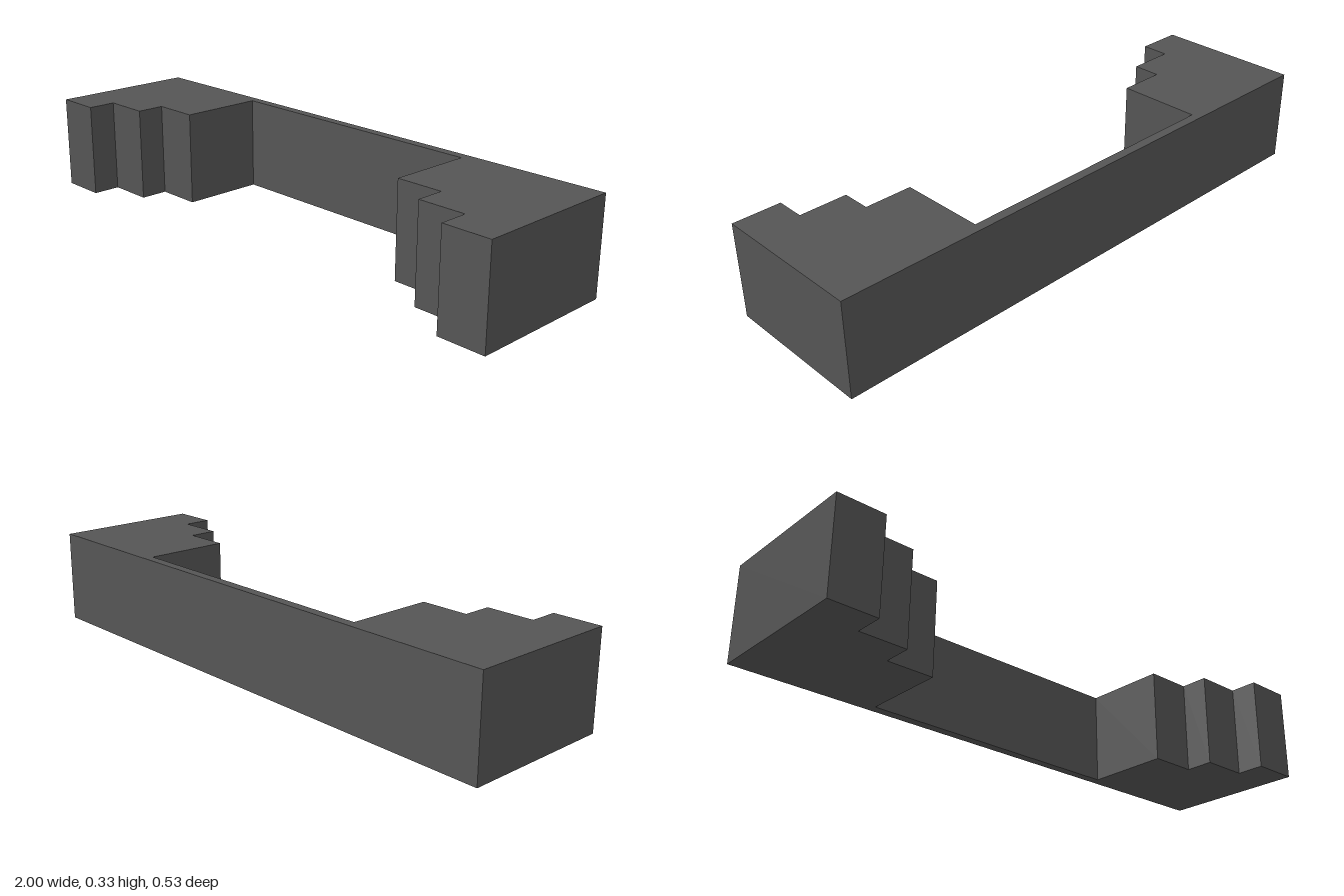
import * as THREE from 'three';

export function createModel() {
  const model = new THREE.Group();
  model.name = 'steppedWallBlock';

  const darkGrey = new THREE.MeshStandardMaterial({ color: 0x555555 });
  darkGrey.name = 'dark grey';

  const height = 1 / 3;
  const back = -0.2667;

  // Right half of the plan as [x, z]: thin back panel, then a wing stepping forward
  const half = [
    [0.5, -0.2333],
    [0.5, 0.0667], [0.6667, 0.0667],
    [0.6667, 0.1667], [0.8333, 0.1667],
    [0.8333, 0.2667], [1, 0.2667],
    [1, back],
  ];
  const mirrored = half.map(([x, z]) => [-x, z]).reverse();

  // Full mirrored plan, extruded upwards (shape y becomes -z)
  const plan = new THREE.Shape([...half, ...mirrored].map(([x, z]) => new THREE.Vector2(x, -z)));
  const geometry = new THREE.ExtrudeGeometry(plan, { depth: height, bevelEnabled: false });
  geometry.rotateX(-Math.PI / 2);

  const body = new THREE.Mesh(geometry, darkGrey);
  body.name = 'backPanelWithSteppedWings';
  model.add(body);

  return model;
}
